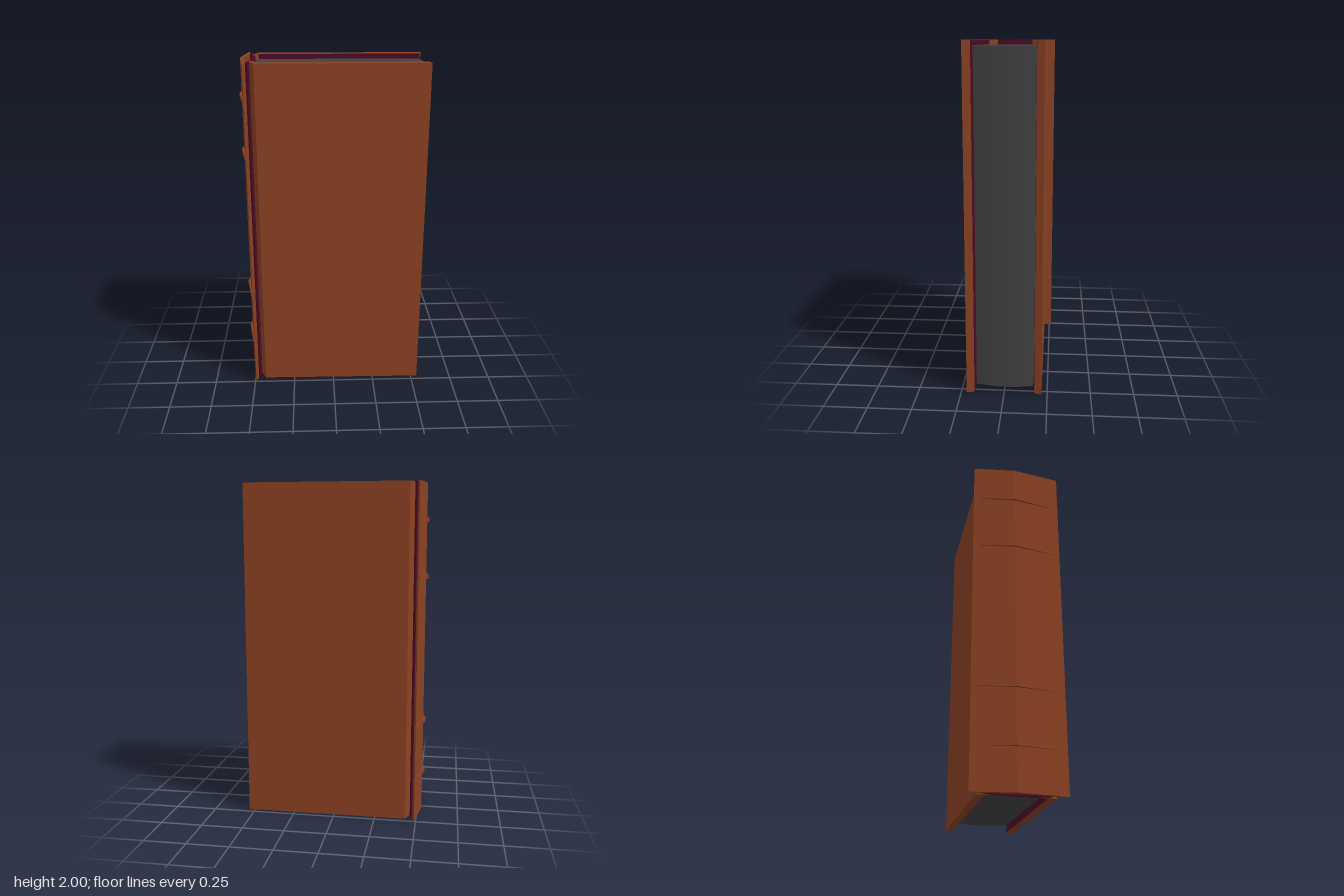
import * as THREE from 'three';

const mat = (name, color) => new THREE.MeshStandardMaterial({ name, color });

// Extrude an outline of [x, z] points upward from y0 to y1
function slab(name, points, y0, y1, material) {
  const shape = new THREE.Shape(points.map(([x, z]) => new THREE.Vector2(x, -z)));
  const geo = new THREE.ExtrudeGeometry(shape, { depth: y1 - y0, bevelEnabled: false });
  geo.rotateX(-Math.PI / 2).translate(0, y0, 0);
  const mesh = new THREE.Mesh(geo, material);
  mesh.name = name;
  return mesh;
}

// Points on a shallow bow from z0 to z1, with its crest displaced by depth
function bow(x0, x1, z0, z1, depth, n = 10) {
  return Array.from({ length: n + 1 }, (_, i) => {
    const t = i / n;
    return [x0 + (x1 - x0) * t + depth * 4 * t * (1 - t), z0 + (z1 - z0) * t];
  });
}

export function createModel() {
  const leather = mat('brown leather', 0x8b4122);
  const paper = mat('dark paper', 0x424242);
  const lining = mat('maroon lining', 0x4c0a24);
  const book = new THREE.Group();
  book.name = 'book';

  // Cover boards, with a hinge flange folded in toward the spine
  book.add(slab('backCover', [
    [-0.435, -0.217], [0.538, -0.217], [0.527, -0.175],
    [-0.43, -0.171], [-0.455, -0.105], [-0.465, -0.14],
  ], 0, 2, leather));
  book.add(slab('frontCover', [
    [-0.435, 0.208], [0.538, 0.218], [0.528, 0.173],
    [-0.42, 0.165], [-0.455, 0.105], [-0.465, 0.145],
  ], 0, 2, leather));

  // Endpapers on the inner faces of the boards
  book.add(slab('backEndpaper', [
    [-0.43, -0.172], [0.527, -0.176], [0.527, -0.173], [-0.43, -0.169],
  ], 0.002, 1.998, lining));
  book.add(slab('frontEndpaper', [
    [-0.42, 0.166], [0.528, 0.174], [0.528, 0.171], [-0.42, 0.163],
  ], 0.002, 1.998, lining));

  // Page block with a rounded fore edge
  book.add(slab('pages', [
    [-0.428, -0.168], ...bow(0.514, 0.506, -0.168, 0.162, 0.022),
    [-0.42, 0.162], [-0.441, 0.11], [-0.438, 0], [-0.441, -0.11],
  ], 0.04, 1.97, paper));

  // Curved lining behind the pages
  book.add(slab('spineLining', [
    ...bow(-0.472, -0.472, -0.187, 0.182, 0.034),
    ...bow(-0.482, -0.482, 0.174, -0.176, 0.024),
  ], 0, 2, lining));

  // Angled spine
  book.add(slab('spine', [
    [-0.527, -0.02], [-0.492, -0.262], [-0.48, -0.208],
    [-0.507, -0.02], [-0.48, 0.2], [-0.492, 0.26],
  ], 0, 2, leather));

  // Raised bands across the spine
  [0.252, 0.575, 1.455, 1.788].forEach((y, i) => {
    book.add(slab('spineBand' + (i + 1), [
      [-0.54, -0.02], [-0.496, -0.245], [-0.49, -0.225],
      [-0.515, -0.02], [-0.49, 0.22], [-0.496, 0.24],
    ], y - 0.013, y + 0.013, leather));
  });

  return book;
}
